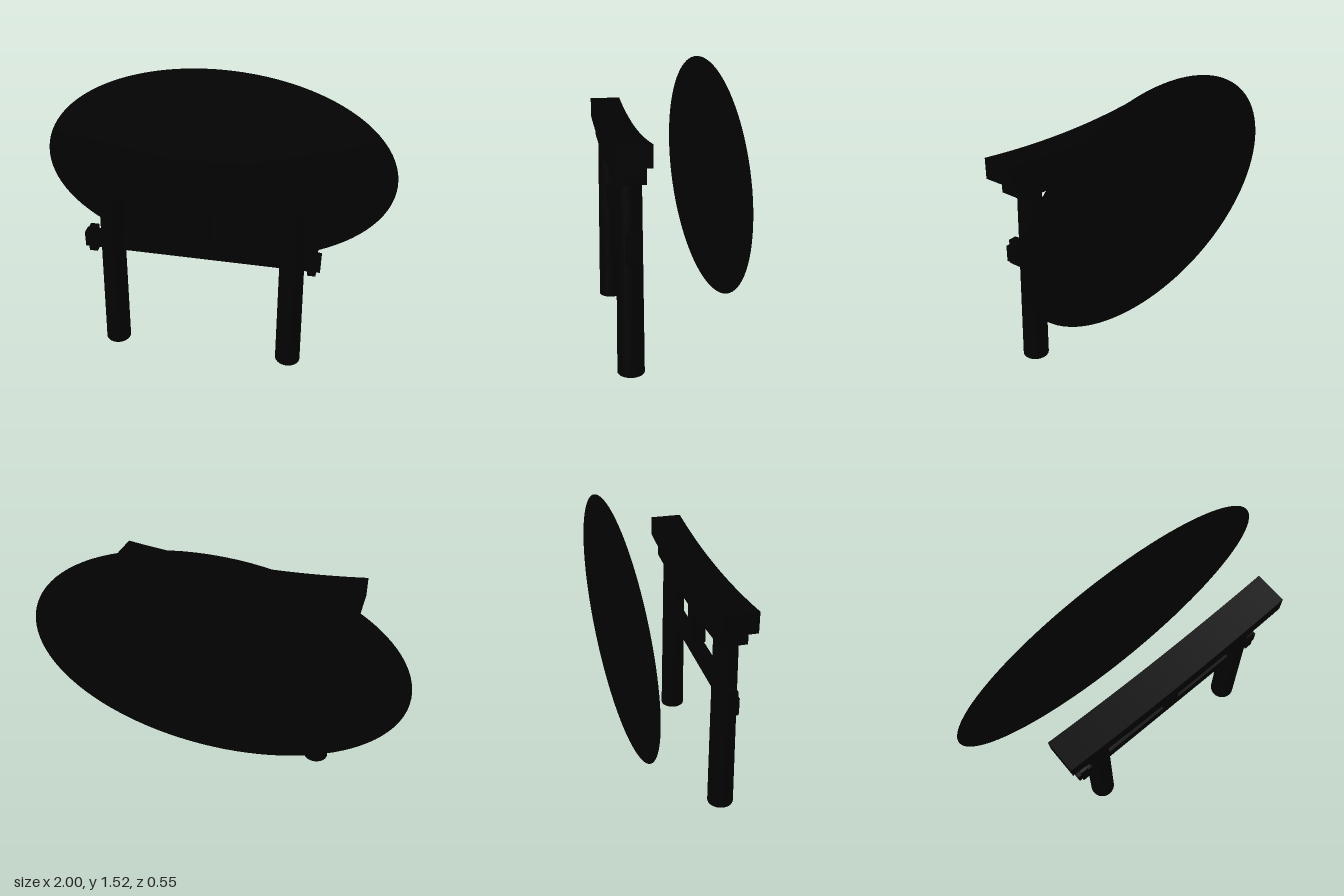
import * as THREE from 'three';
import { toCreasedNormals } from 'three/addons/utils/BufferGeometryUtils.js';

const Z = 0.186; // depth of the gate's centre plane
const material = new THREE.MeshStandardMaterial({ color: 0x020202 });
const discMaterial = new THREE.MeshStandardMaterial({ color: 0x020202, side: THREE.DoubleSide });

function addMesh(parent, name, geometry, x, y, z, mat = material) {
  const mesh = new THREE.Mesh(geometry, mat);
  mesh.name = name;
  mesh.position.set(x, y, z);
  parent.add(mesh);
  return mesh;
}

// Beam with upswept ends: lowest in the middle, rising by `sweep` at +-half
function sweptBeam(half, bottom, height, sweep, depth) {
  const end = bottom + sweep;
  const control = bottom - sweep;
  const shape = new THREE.Shape();
  shape.moveTo(-half, end);
  shape.quadraticCurveTo(0, control, half, end);
  shape.lineTo(half, end + height);
  shape.quadraticCurveTo(0, control + height, -half, end + height);
  shape.closePath();
  const geometry = new THREE.ExtrudeGeometry(shape, { depth, bevelEnabled: false, curveSegments: 24 });
  geometry.translate(0, 0, -depth / 2);
  return toCreasedNormals(geometry, 0.5);
}

// Peg that narrows in depth towards the top
function wedge(width, height, depth, topScale) {
  const geometry = new THREE.BoxGeometry(width, height, depth);
  const p = geometry.attributes.position;
  for (let i = 0; i < p.count; i++) if (p.getY(i) > 0) p.setZ(i, p.getZ(i) * topScale);
  geometry.computeVertexNormals();
  return geometry;
}

export function createModel() {
  const model = new THREE.Group();
  model.name = 'gateWithDisc';

  // Flat elliptical disc behind the gate
  const disc = addMesh(model, 'backDisc', new THREE.CircleGeometry(1, 96), 0, 0.92, -0.273, discMaterial);
  disc.scale.y = 0.6;

  const gate = new THREE.Group();
  gate.name = 'gate';
  gate.position.z = Z;
  model.add(gate);

  // Upper and lower top beams
  addMesh(gate, 'topBeam', sweptBeam(0.675, 1.062, 0.11, 0.043, 0.175), 0, 0, 0);
  addMesh(gate, 'underBeam', sweptBeam(0.597, 0.98, 0.095, 0.028, 0.137), 0, 0, 0);

  // Tie beam and short centre strut
  addMesh(gate, 'tieBeam', new THREE.BoxGeometry(1.27, 0.088, 0.056), 0, 0.69, 0);
  addMesh(gate, 'centreStrut', new THREE.BoxGeometry(0.09, 0.27, 0.075), 0, 0.865, 0);

  for (const [side, label] of [[1, 'left'], [-1, 'right']]) {
    // Tapered pillar leaning inwards: each ring shifts with height
    const pillar = new THREE.CylinderGeometry(0.0625, 0.07, 1.02, 32);
    pillar.translate(0, 0.51, 0);
    pillar.applyMatrix4(new THREE.Matrix4().makeShear(0, 0, -side * 0.022, 0, 0, 0));
    addMesh(gate, label + 'Pillar', pillar, side * 0.5, 0, 0);

    // Wedge locking the tie beam outside the pillar
    addMesh(gate, label + 'Wedge', wedge(0.045, 0.138, 0.068, 0.78), side * 0.592, 0.692, 0);
  }
  return model;
}
